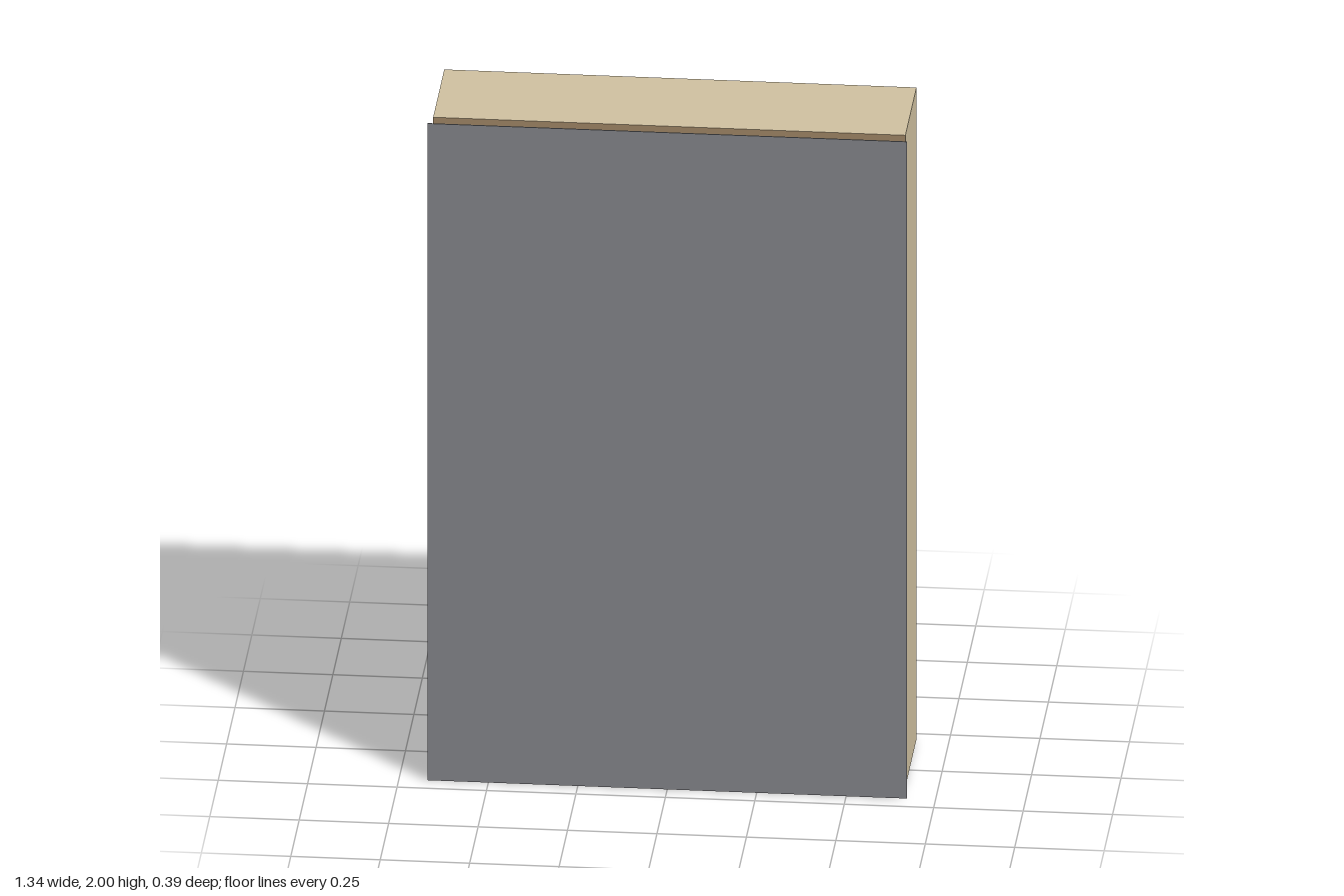
import * as THREE from 'three';

export function createModel() {
  const model = new THREE.Group();
  const material = (name, color) => {
    const m = new THREE.MeshStandardMaterial({ color });
    m.name = name;
    return m;
  };
  const tan = material('tan board', 0xd0c1a0);
  const brown = material('brown edge', 0x9e8565);
  const slate = material('slate grey', 0x828388);
  const pale = material('pale grey', 0xd2d0c5);
  const black = material('black', 0x1c1c1c);

  const MID = 1; // height of the centre

  // Box centred on x and MID, spanning z0 to z1
  const slab = (name, w, h, z0, z1, mat) => {
    const mesh = new THREE.Mesh(new THREE.BoxGeometry(w, h, z1 - z0), mat);
    mesh.name = name;
    mesh.position.set(0, MID, (z0 + z1) / 2);
    model.add(mesh);
  };

  // Deep outer case: tan walls with brown front and back edges
  const W = 1.32, H = 1.985, EDGE = 0.053, BACK = -0.195, FRONT = 0.134;
  const rectangle = (path, w, h) => path
    .moveTo(-w / 2, -h / 2).lineTo(w / 2, -h / 2)
    .lineTo(w / 2, h / 2).lineTo(-w / 2, h / 2).closePath();
  const ring = new THREE.Shape();
  rectangle(ring, W, H);
  const hole = new THREE.Path();
  rectangle(hole, W - 2 * EDGE, H - 2 * EDGE);
  ring.holes.push(hole);
  const frame = new THREE.Mesh(
    new THREE.ExtrudeGeometry(ring, { depth: FRONT - BACK, bevelEnabled: false }),
    [brown, tan]
  );
  frame.name = 'caseFrame';
  frame.position.set(0, MID, BACK);
  model.add(frame);

  // Panel filling the case, slightly recessed
  slab('casePanel', W - 2 * EDGE, H - 2 * EDGE, BACK + 0.008, FRONT - 0.008, tan);

  // Mounting stack between the case and the front sheet
  slab('rearGasket', 0.69, 1.355, FRONT - 0.008, 0.141, black);
  slab('mountPlate', 0.70, 1.36, 0.141, 0.172, pale);
  slab('frontGasket', 0.69, 1.355, 0.172, 0.178, black);
  slab('spacerPlate', 0.69, 1.355, 0.178, 0.192, pale);

  // Thin front sheet, a little larger than the case
  slab('frontSheet', 1.34, 2, 0.192, 0.195, slate);

  return model;
}
